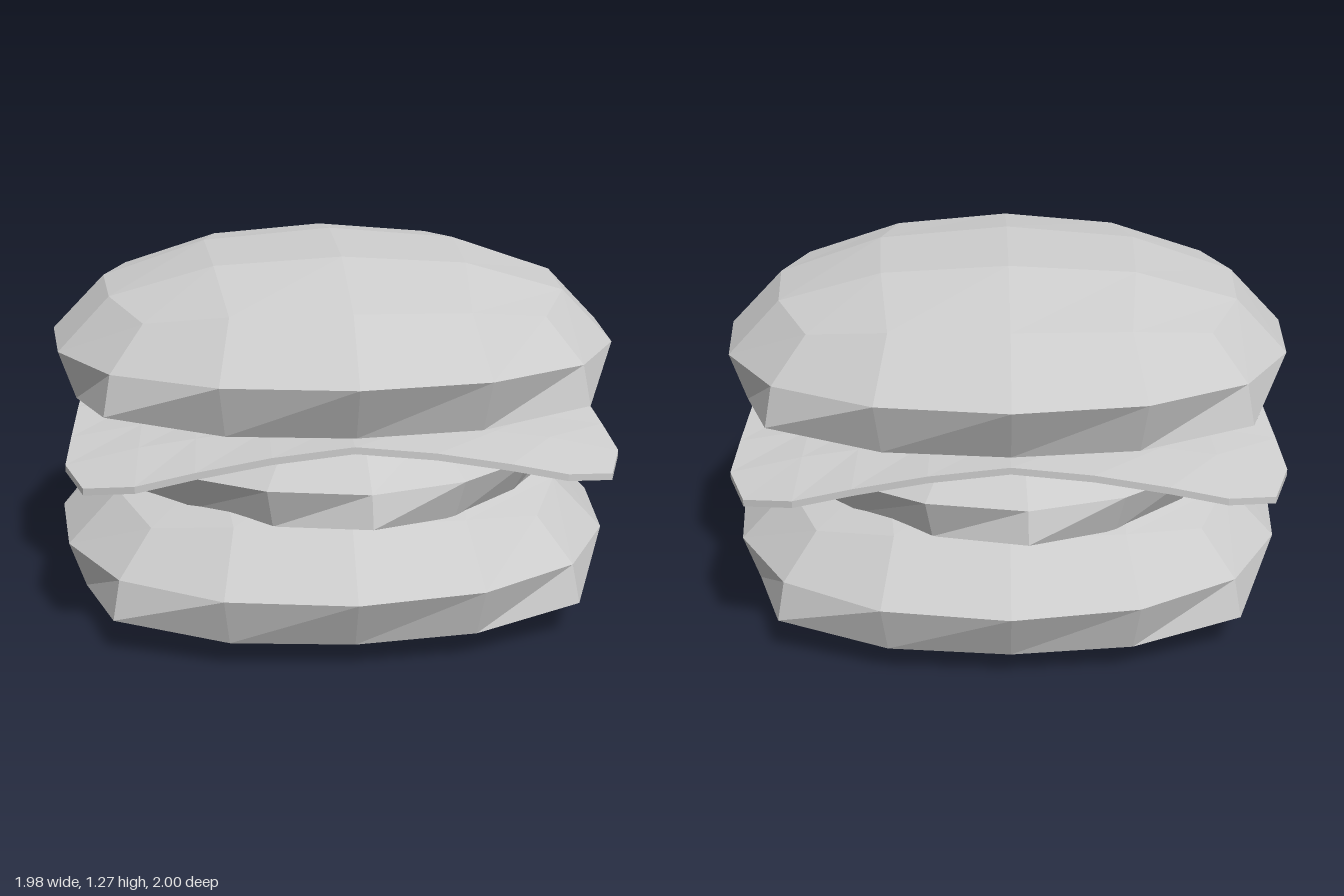
import * as THREE from 'three';

const grey = () => new THREE.MeshStandardMaterial({ color: 0xcccccc, flatShading: true });

// Eighth-symmetric cross-sections of a bun: [outward, along, height] measured
// from the equator, for edge middle, edge quarter and corner.
const RINGS = {
  top: [[0.81, 0, 0.187], [0.76, 0.37, 0.175], [0.635, 0.635, 0.135]],
  equator: [[0.995, 0, 0], [0.93, 0.405, 0], [0.735, 0.735, 0]],
  bottom: [[0.91, 0, -0.167], [0.88, 0.39, -0.16], [0.757, 0.757, -0.127]],
};
// Caps: centre, then edge middle and corner of the inner square
const CAPS = {
  top: [[0, 0, 0.345], [0.45, 0, 0.307], [0.415, 0.415, 0.277]],
  bottom: [[0, 0, -0.255], [0.54, 0, -0.243], [0.49, 0.49, -0.225]],
};

// Moves every vertex of a geometry by a rule, then refreshes the normals
function reshape(geometry, rule) {
  const p = geometry.attributes.position;
  for (let i = 0; i < p.count; i++) {
    p.setXYZ(i, ...rule(p.getX(i), p.getY(i), p.getZ(i)));
  }
  geometry.computeVertexNormals();
  return geometry;
}

// Rounded pillow from a 4 x 2 x 4 grid box
function pillowGeometry() {
  return reshape(new THREE.BoxGeometry(4, 2, 4, 4, 2, 4), (x, y, z) => {
    const [ix, iy, iz] = [x, y, z].map(Math.round);
    const ax = Math.abs(ix), az = Math.abs(iz);
    const far = Math.max(ax, az), near = Math.min(ax, az);
    const level = iy > 0 ? 'top' : iy < 0 ? 'bottom' : 'equator';
    const [out, along, h] = far === 2 ? RINGS[level][near] : CAPS[level][far + near];
    const px = ax >= az ? out : along, pz = az >= ax ? out : along;
    return [Math.sign(ix) * px, h, Math.sign(iz) * pz];
  });
}

// Square slice with clipped corners that sag
function cheeseGeometry() {
  const steps = [0, 0.25, 0.48, 0.66, 0.89];
  return reshape(new THREE.BoxGeometry(8, 2, 8, 8, 1, 8), (x, y, z) => {
    const ax = Math.round(Math.abs(x)), az = Math.round(Math.abs(z));
    const corner = ax === 4 && az === 4;
    const px = corner ? 0.82 : steps[ax], pz = corner ? 0.825 : steps[az];
    const sag = 0.14 * Math.pow((px * pz) / 0.72, 1.4);
    const rim = ax === 4 || az === 4 ? 0.015 : 0;
    return [Math.sign(x) * px, y * 0.011 - sag - rim, Math.sign(z) * pz];
  });
}

export function createModel() {
  const burger = new THREE.Group();
  burger.name = 'burger';

  const add = (name, geometry, y) => {
    const mesh = new THREE.Mesh(geometry, grey());
    mesh.name = name;
    mesh.position.y = y;
    burger.add(mesh);
    return mesh;
  };

  // Two matching buns
  for (const [name, y] of [['bottomBun', 0.257], ['topBun', 0.925]]) {
    add(name, pillowGeometry(), y).scale.set(0.995, 1, 1.005);
  }

  // Patty: a smaller, flatter pillow turned diagonally
  const patty = add('patty', pillowGeometry(), 0.565);
  patty.scale.set(0.845, 0.81, 0.845);
  patty.rotation.y = THREE.MathUtils.degToRad(48.5);

  // Cheese slice draped over the patty
  add('cheese', cheeseGeometry(), 0.724).position.z = -0.012;

  return burger;
}
